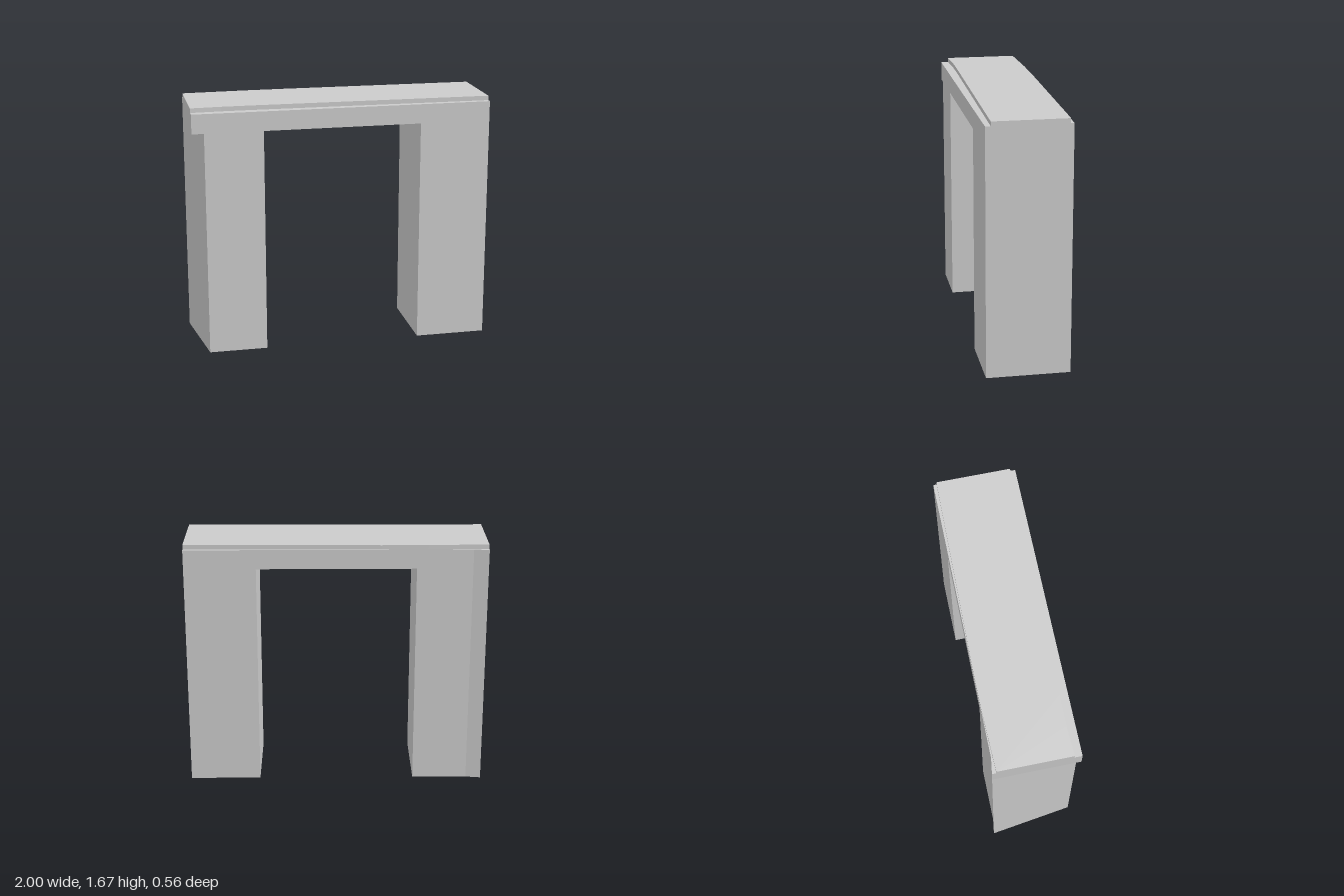
import * as THREE from 'three';

const material = new THREE.MeshStandardMaterial({ color: 0xcccccc, flatShading: true });

// Raises a plan outline of [x, z] corners from y0 to y1
function slab(name, outline, y0, y1) {
  const shape = new THREE.Shape(outline.map(([x, z]) => new THREE.Vector2(x, -z)));
  const geometry = new THREE.ExtrudeGeometry(shape, { depth: y1 - y0, bevelEnabled: false });
  geometry.rotateX(-Math.PI / 2).translate(0, y0, 0);
  const mesh = new THREE.Mesh(geometry, material);
  mesh.name = name;
  return mesh;
}

export function createModel() {
  const group = new THREE.Group();
  group.name = 'archway';

  const front = 0.28, back = -0.27;
  const soffit = 1.515, ledge = 1.645, top = 1.675;
  // Slightly flared back corner shared by the right leg and the lintel
  const flare = [[-0.9, back], [-1, -0.285]];

  // Right leg: its outer face slants inwards towards the front
  group.add(slab('rightLeg',
    [...flare, [-0.92, front], [-0.53, front], [-0.53, back]], 0, soffit));

  // Left leg: plain block
  group.add(slab('leftLeg',
    [[0.525, back], [0.525, front], [1, front], [1, back]], 0, soffit));

  // Lintel across both legs, overhanging the slanted one
  group.add(slab('lintel',
    [...flare, [-1, front], [1, front], [1, back]], soffit, ledge));

  // Thin cap, set back a little unevenly from the lintel edges
  group.add(slab('cap', [
    [-1, -0.257], [-1, 0.23], [-0.8, 0.221], [-0.6, 0.221], [1, 0.245],
    [1, -0.248], [-0.3, -0.268], [-0.6, -0.268],
  ], ledge, top));

  return group;
}
